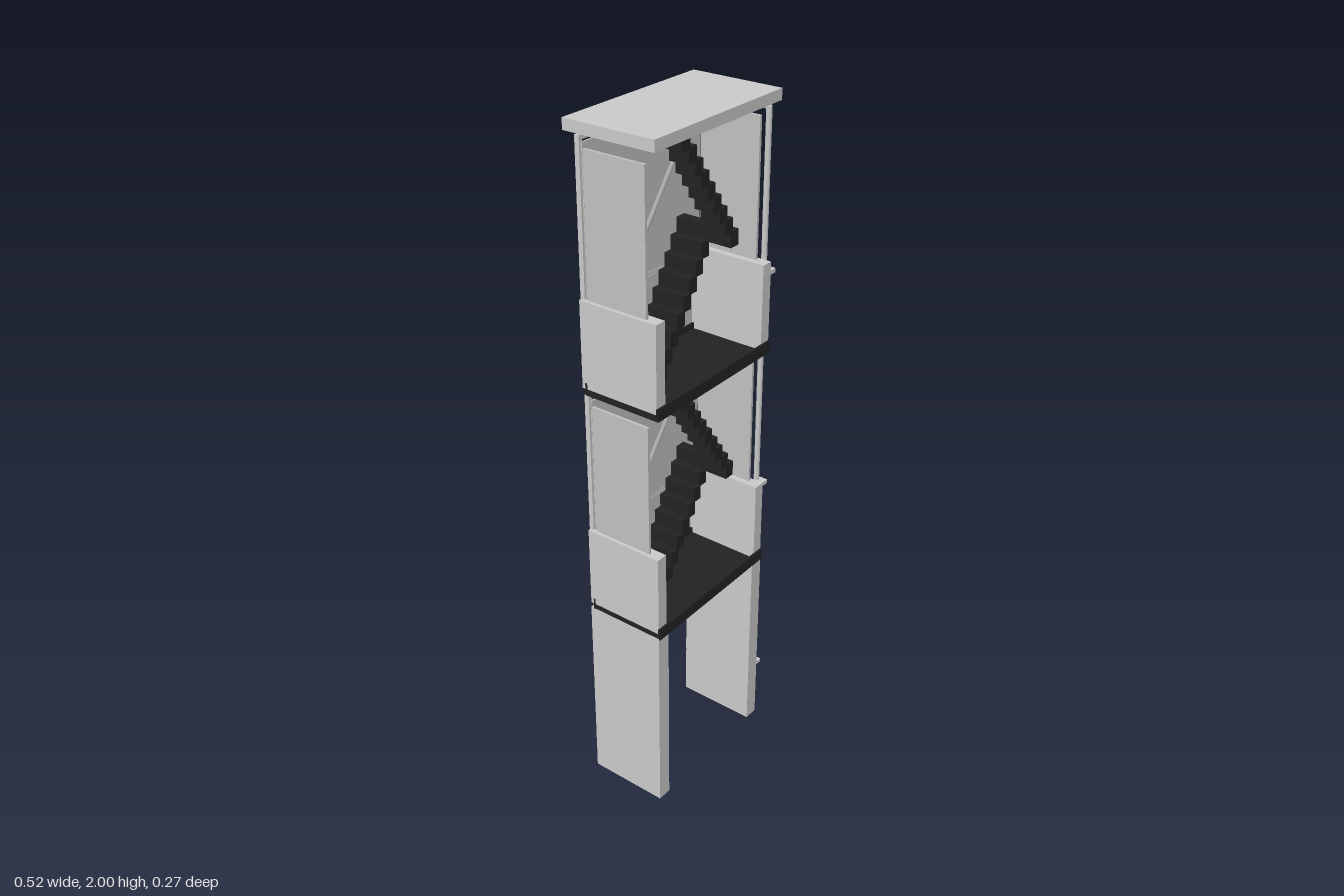
import * as THREE from 'three';

export function createModel() {
  const root = new THREE.Group();
  const mat = (name, color) => {
    const m = new THREE.MeshStandardMaterial({ color });
    m.name = name;
    return m;
  };
  const concrete = mat('concrete grey', 0xc8c8c8);
  const panel = mat('panel grey', 0xbfbfbf);
  const metal = mat('metal grey', 0xa8a8a8);
  const black = mat('black steel', 0x222222);

  // Box given by its limits on each axis
  const box = (parent, name, m, x0, x1, y0, y1, z0, z1) => {
    const mesh = new THREE.Mesh(new THREE.BoxGeometry(x1 - x0, y1 - y0, z1 - z0), m);
    mesh.position.set((x0 + x1) / 2, (y0 + y1) / 2, (z0 + z1) / 2);
    mesh.name = name;
    parent.add(mesh);
    return mesh;
  };
  // Round bar between two points
  const bar = (parent, name, m, a, b, r) => {
    const p = new THREE.Vector3(...a), q = new THREE.Vector3(...b);
    const d = q.clone().sub(p);
    const mesh = new THREE.Mesh(new THREE.CylinderGeometry(r, r, d.length(), 12), m);
    mesh.position.copy(p).add(q).multiplyScalar(0.5);
    mesh.quaternion.setFromUnitVectors(new THREE.Vector3(0, 1, 0), d.normalize());
    mesh.name = name;
    parent.add(mesh);
  };

  // Legs with dark joints down the rear edge
  for (const [side, x0, x1] of [['right', -0.257, -0.213], ['left', 0.19, 0.234]]) {
    box(root, side + 'Leg', concrete, x0, x1, 0, 0.6, -0.112, 0.13);
    for (let i = 0; i < 6; i++) {
      const y = 0.07 + i * 0.088;
      box(root, side + 'LegJoint', black, x0, x1, y - 0.004, y + 0.004, -0.114, -0.111);
    }
  }

  function createStorey() {
    const g = new THREE.Group();

    // Floor with raised front and rear lips
    box(g, 'floor', black, -0.257, 0.232, 0.597, 0.615, -0.1, 0.135);
    box(g, 'floorFrontLip', black, -0.257, 0.232, 0.597, 0.632, 0.128, 0.135);
    box(g, 'floorRearLip', black, -0.257, 0.232, 0.597, 0.632, -0.102, -0.096);

    // Low thick side walls with thin walls above
    box(g, 'rightLowWall', concrete, -0.256, -0.221, 0.615, 0.86, -0.112, 0.129);
    box(g, 'leftLowWall', concrete, 0.198, 0.233, 0.615, 0.86, -0.112, 0.129);
    box(g, 'rightUpperWall', panel, -0.246, -0.238, 0.86, 1.245, -0.092, 0.092);
    box(g, 'leftUpperWall', panel, 0.216, 0.224, 0.86, 1.245, -0.092, 0.092);

    // Rear panels
    box(g, 'rearLowPanel', panel, -0.24, 0.218, 0.622, 0.833, -0.108, -0.103);
    box(g, 'rearUpperPanel', panel, -0.24, 0.218, 0.85, 1.258, -0.103, -0.098);

    // Rear frame: four posts above, a border round the low panel, three rails
    for (let i = 0; i < 4; i++) {
      const x = -0.241 + i * 0.1537;
      box(g, 'rearPost', concrete, x - 0.006, x + 0.006, i % 3 ? 0.84 : 0.61, 1.275, -0.115, -0.101);
    }
    for (const y of [0.623, 0.84, 1.175, 1.268]) {
      box(g, 'rearRail', concrete, -0.247, 0.226, y - 0.006, y + 0.006, -0.115, -0.103);
    }

    // Two flights of steps turning on a landing
    for (let i = 0; i <= 8; i++) {
      const x = -0.11 + i * 0.0255, y = 0.64 + i * 0.0405;
      box(g, 'lowerStep', black, x - 0.016, x + 0.016, y - 0.022, y + 0.022, -0.065, i === 8 ? 0.108 : 0.035);
    }
    for (let i = 1; i <= 8; i++) {
      const x = 0.094 - i * 0.0255, y = 0.965 + i * 0.0375;
      box(g, 'upperStep', black, x - 0.016, x + 0.016, y - 0.021, y + 0.021, 0.05, 0.108);
    }
    bar(g, 'handrail', metal, [-0.14, 0.857, -0.07], [0.103, 1.175, -0.07], 0.006);
    return g;
  }

  for (let i = 0; i < 2; i++) {
    const storey = createStorey();
    storey.name = i ? 'upperStorey' : 'lowerStorey';
    storey.position.y = i * 0.685;
    root.add(storey);
  }

  // Roof slab
  box(root, 'roof', concrete, -0.263, 0.245, 1.97, 2, -0.137, 0.135);

  // Sloping gutter, downpipe, outlet and brackets
  bar(root, 'gutter', concrete, [0.247, 1.972, -0.128], [0.247, 1.946, 0.098], 0.008);
  bar(root, 'downpipe', concrete, [0.246, 0.05, 0.098], [0.246, 1.95, 0.098], 0.008);
  bar(root, 'outlet', concrete, [0.246, 0.052, 0.1], [0.246, 0.03, 0.046], 0.009);
  for (const y of [0.185, 0.85, 1.51]) {
    box(root, 'pipeBracket', concrete, 0.232, 0.262, y - 0.006, y + 0.006, 0.095, 0.125);
  }
  return root;
}
